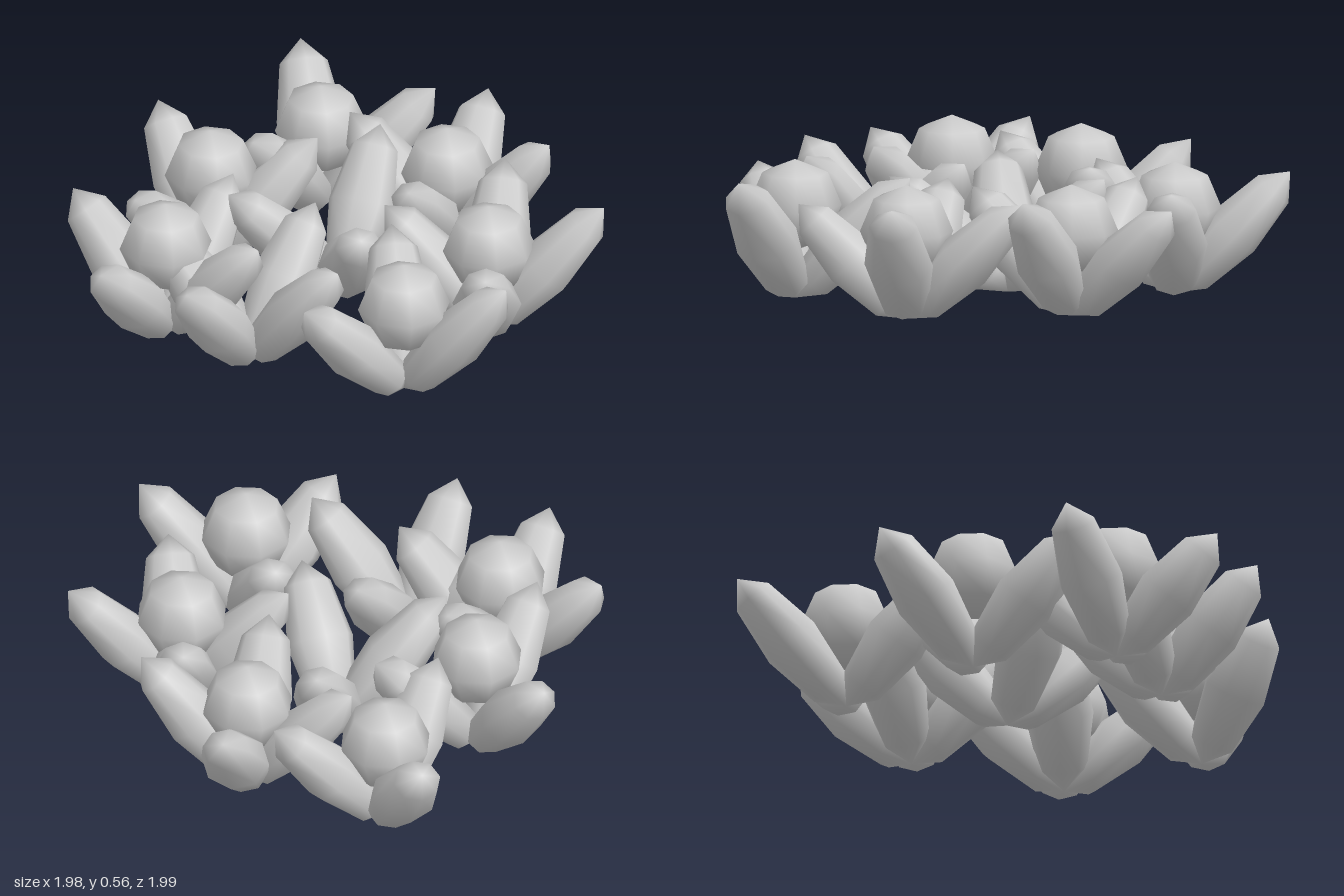
import * as THREE from 'three';

// each flower: base x, z, top of its round heart (0 = none),
// petals as [heading in degrees from +x toward +z, reach of the tip, height of the tip]
const FLOWERS = [
  { x: -0.49, z: -0.56, top: 0.51, petals: [[-135, 0.44, 0.47], [-42, 0.44, 0.47], [92, 0.43, 0.46]] },
  { x: 0.09, z: -0.57, top: 0.51, petals: [[-104, 0.44, 0.45], [-17, 0.41, 0.51], [75, 0.43, 0.46], [173, 0.42, 0.47]] },
  { x: 0.57, z: -0.16, top: 0.52, petals: [[-117, 0.46, 0.47], [-36, 0.44, 0.51], [57, 0.42, 0.43], [159, 0.41, 0.47]] },
  { x: 0.58, z: 0.42, top: 0.54, petals: [[-131, 0.44, 0.47], [-13, 0.42, 0.52], [117, 0.43, 0.45]] },
  { x: -0.59, z: 0.03, top: 0.56, petals: [[-152, 0.44, 0.47], [-49, 0.42, 0.47], [94, 0.46, 0.46]] },
  { x: -0.43, z: 0.56, top: 0.54, petals: [[-89, 0.44, 0.47], [0, 0.43, 0.48], [90, 0.43, 0.43], [180, 0.43, 0.47]] },
  { x: -0.04, z: 0.56, top: 0, petals: [[-90, 0.44, 0.47], [0, 0.41, 0.5], [91, 0.41, 0.46], [180, 0.42, 0.43]] },
  { x: -0.06, z: -0.09, top: 0, petals: [[-105, 0.42, 0.48], [46, 0.45, 0.45], [131, 0.45, 0.46]] },
];
const HEART_RADIUS = 0.178;

export function createModel() {
  const model = new THREE.Group();
  model.name = 'flowerCluster';
  const material = new THREE.MeshStandardMaterial({ color: 0xcccccc });

  // flattened ellipsoid of unit length standing on its base point
  const petalGeometry = new THREE.SphereGeometry(1, 8, 4)
    .scale(0.132, 0.5, 0.112)
    .translate(0, 0.5, 0);
  const heartGeometry = new THREE.SphereGeometry(HEART_RADIUS, 8, 4);

  for (const { x, z, top, petals } of FLOWERS) {
    const flower = new THREE.Group();
    flower.name = 'flower';
    flower.position.set(x, 0, z);

    // petals lean outward from the shared base
    for (const [heading, reach, height] of petals) {
      const petal = new THREE.Mesh(petalGeometry, material);
      petal.name = 'petal';
      petal.scale.y = Math.hypot(reach, height);
      const turn = Math.PI / 2 - THREE.MathUtils.degToRad(heading);
      petal.rotation.set(Math.atan2(reach, height), turn, 0, 'YXZ');
      flower.add(petal);
    }

    // round heart resting between the petals
    if (top) {
      const heart = new THREE.Mesh(heartGeometry, material);
      heart.name = 'heart';
      heart.position.y = top - HEART_RADIUS;
      flower.add(heart);
    }
    model.add(flower);
  }
  return model;
}
